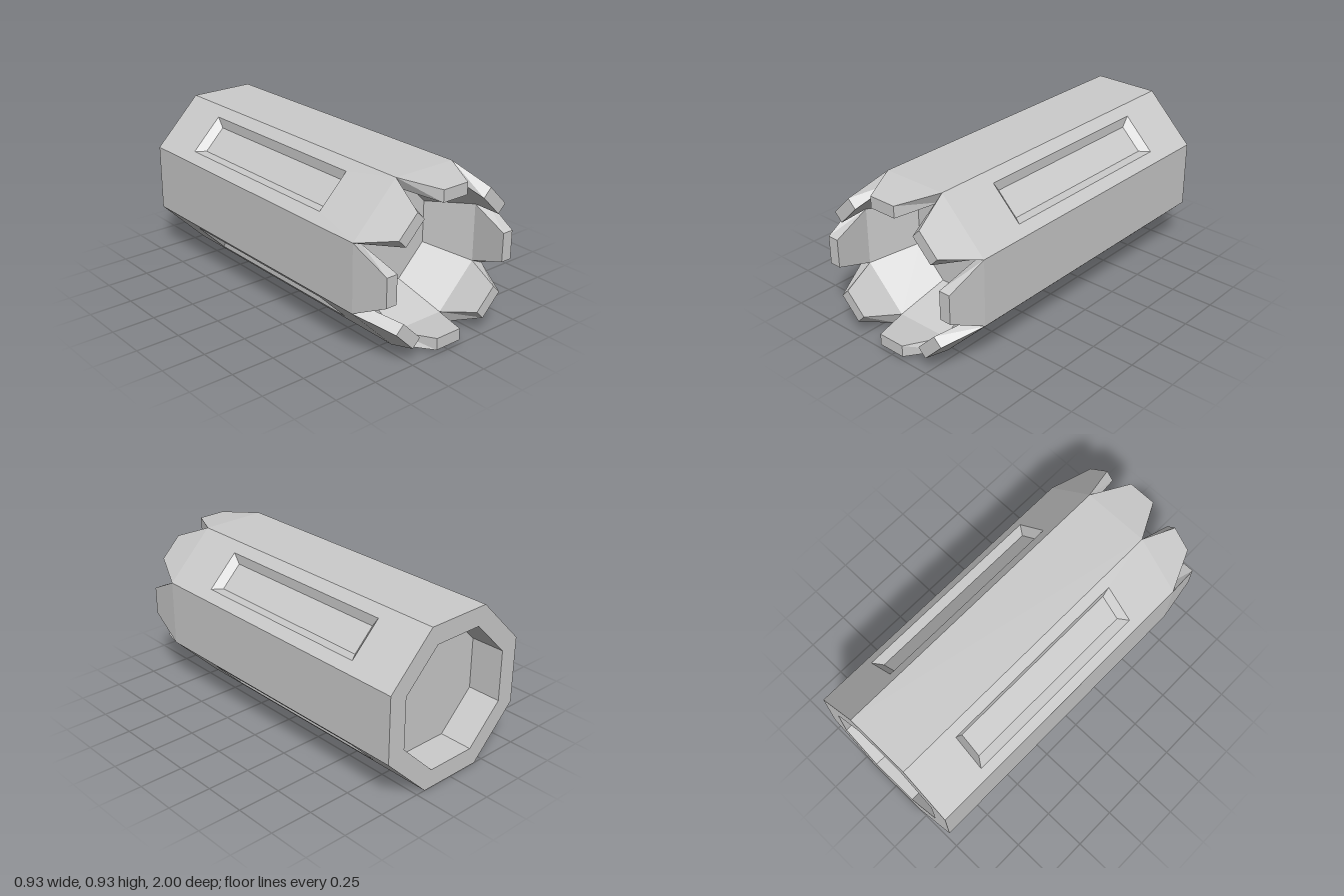
import * as THREE from 'three';

const SIDES = 8;
const APOTHEM = 0.465;
const TAN = Math.tan(Math.PI / SIDES);

// Two corners of an octagon's top edge at the given apothem and depth
const edge = (a, z) => [[-a * TAN, a, z], [a * TAN, a, z]];

// Rectangle lying on the top side, counter-clockwise seen from outside
const rect = (w, y, z0, z1) => [[-w, y, z1], [w, y, z1], [w, y, z0], [-w, y, z0]];

// Quads joining two matching loops
const band = (a, b) => a.map((p, i) => {
  const j = (i + 1) % a.length;
  return [p, a[j], b[j], b[i]];
});

// Flat-faced mesh: convex polygons drawn for the top side, turned onto the chosen sides
function sideMesh(name, polygons, material, sides = [0, 1, 2, 3, 4, 5, 6, 7]) {
  const positions = [];
  const axis = new THREE.Vector3(0, 0, 1);
  for (const k of sides) {
    for (const poly of polygons) {
      for (let i = 1; i < poly.length - 1; i++) {
        for (const p of [poly[0], poly[i], poly[i + 1]]) {
          const v = new THREE.Vector3(...p).applyAxisAngle(axis, (k * 2 * Math.PI) / SIDES);
          positions.push(v.x, v.y + APOTHEM, v.z);
        }
      }
    }
  }
  const geometry = new THREE.BufferGeometry();
  geometry.setAttribute('position', new THREE.Float32BufferAttribute(positions, 3));
  geometry.computeVertexNormals();
  const mesh = new THREE.Mesh(geometry, material);
  mesh.name = name;
  return mesh;
}

export function createModel() {
  const group = new THREE.Group();
  group.name = 'octagonalBarrel';
  const material = new THREE.MeshStandardMaterial({ color: 0xcccccc, flatShading: true });
  const even = [0, 2, 4, 6];
  const odd = [1, 3, 5, 7];

  // Long outer panels: plain on the upright sides, slotted on the diagonals
  const panel = rect(APOTHEM * TAN, APOTHEM, -1, 0.78);
  const slot = rect(0.123, APOTHEM, -0.685, 0.465);
  const slotFloor = rect(0.083, APOTHEM - 0.04, -0.645, 0.425);
  group.add(sideMesh('plainPanels', [panel], material, even));
  group.add(sideMesh('slottedPanels', band(panel, slot), material, odd));
  group.add(sideMesh('bevelledSlots', [...band(slot, slotFloor), slotFloor], material, odd));

  // Tapered teeth around the front mouth
  const [o0, o3] = edge(APOTHEM, 0.78);
  const [i0, i3] = edge(0.4, 0.77);
  const outer = [o0, [-0.082, 0.44, 1], [0.082, 0.44, 1], o3];
  const inner = [i0, [-0.082, 0.373, 1], [0.082, 0.373, 1], i3];
  const rims = [0, 1, 2].map((i) => [outer[i], inner[i], inner[i + 1], outer[i + 1]]);
  group.add(sideMesh('frontTeeth', [outer, ...rims, [...inner].reverse()], material));

  // Front bore narrowing to a flat floor
  const [f0, f1] = edge(0.295, 0.49);
  group.add(sideMesh('frontBoreWall', [[i0, f0, f1, i3]], material));
  group.add(sideMesh('frontBoreFloor', [[[0, 0, 0.49], f1, f0]], material));

  // Back rim with a straight-walled recess
  const [b0, b1] = edge(APOTHEM, -1);
  const [r0, r1] = edge(0.358, -1);
  const [q0, q1] = edge(0.358, -0.8);
  group.add(sideMesh('backRim', [[b0, b1, r1, r0]], material));
  group.add(sideMesh('backRecessWall', [[q0, r0, r1, q1]], material));
  group.add(sideMesh('backRecessFloor', [[[0, 0, -0.8], q0, q1]], material));

  return group;
}
